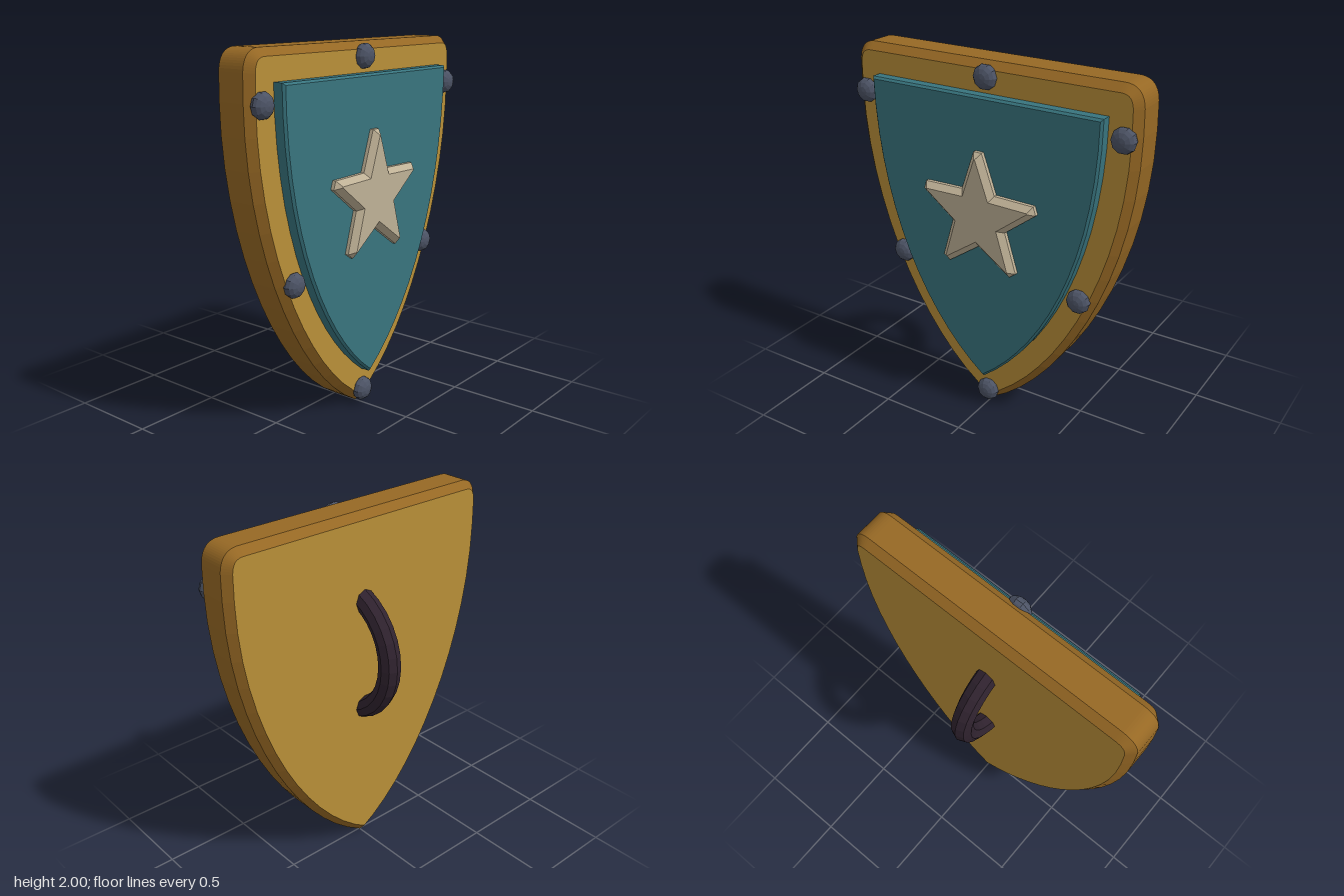
import * as THREE from 'three';

const mat = (name, color, extra = {}) =>
  Object.assign(new THREE.MeshStandardMaterial({ color, ...extra }), { name });

// Chamfered plate whose outermost outline is the given shape, spanning zBack..zFront
function plate(name, shape, zBack, zFront, bevel, materials) {
  const geometry = new THREE.ExtrudeGeometry(shape, {
    depth: zFront - zBack - 2 * bevel,
    bevelEnabled: true,
    bevelThickness: bevel,
    bevelSize: bevel,
    bevelOffset: -bevel,
    bevelSegments: 1,
    curveSegments: 14,
  });
  geometry.translate(0, 0, zBack + bevel);
  const mesh = new THREE.Mesh(geometry, materials);
  mesh.name = name;
  return mesh;
}

// Outer outline with rounded upper corners
function bodyShape() {
  const s = new THREE.Shape();
  s.moveTo(0, 0);
  s.bezierCurveTo(0.45, 0.25, 0.84, 1.0, 0.84, 1.75);
  s.lineTo(0.838, 1.89);
  s.quadraticCurveTo(0.83, 2, 0.73, 2);
  s.lineTo(-0.73, 2);
  s.quadraticCurveTo(-0.83, 2, -0.838, 1.89);
  s.lineTo(-0.84, 1.75);
  s.bezierCurveTo(-0.84, 1.0, -0.45, 0.25, 0, 0);
  return s;
}

// Inner panel outline with sharp upper corners
function panelShape() {
  const s = new THREE.Shape();
  s.moveTo(0, 0.2);
  s.bezierCurveTo(0.4, 0.5, 0.68, 1.1, 0.68, 1.84);
  s.lineTo(-0.68, 1.84);
  s.bezierCurveTo(-0.68, 1.1, -0.4, 0.5, 0, 0.2);
  return s;
}

// Five-pointed star with blunt tips
function starShape(cy, outer, inner, blunt) {
  const points = [];
  for (let i = 0; i < 5; i++) {
    const a = Math.PI / 2 + (i * 2 * Math.PI) / 5;
    for (const side of [-1, 1]) {
      points.push(new THREE.Vector2(
        Math.cos(a) * outer - Math.sin(a) * blunt * side,
        cy + Math.sin(a) * outer + Math.cos(a) * blunt * side));
    }
    const b = a + Math.PI / 5;
    points.push(new THREE.Vector2(Math.cos(b) * inner, cy + Math.sin(b) * inner));
  }
  return new THREE.Shape(points);
}

export function createModel() {
  const gold = mat('gold face', 0xb98f38);
  const bronze = mat('bronze edge', 0x966824);
  const teal = mat('teal panel', 0x38747e);
  const cream = mat('cream star', 0xbfb196);
  const steel = mat('steel rivet', 0x4c5365, { flatShading: true });
  const leather = mat('dark leather', 0x30232f, { flatShading: true });

  const model = new THREE.Group();
  model.name = 'shield';

  // Layered plates: body, raised panel, star
  model.add(plate('shieldBody', bodyShape(), -0.045, 0.19, 0.04, [gold, bronze]));
  model.add(plate('frontPanel', panelShape(), 0.15, 0.255, 0.012, teal));
  model.add(plate('star', starShape(1.2, 0.355, 0.17, 0.024), 0.21, 0.305, 0.03, cream));

  // Flattened rivets around the rim
  const rivetGeometry = new THREE.SphereGeometry(0.067, 10, 8);
  rivetGeometry.rotateX(Math.PI / 2);
  rivetGeometry.scale(1, 1, 0.68);
  const rivets = new THREE.Group();
  rivets.name = 'rivets';
  for (const [x, y] of [[0, 1.925], [0.765, 1.74], [-0.765, 1.74], [0.56, 0.83], [-0.56, 0.83], [0, 0.085]]) {
    const rivet = new THREE.Mesh(rivetGeometry, steel);
    rivet.name = 'rivet';
    rivet.position.set(x, y, 0.198);
    rivets.add(rivet);
  }
  model.add(rivets);

  // Arched grip on the back, its ends sunk into the body
  const gripGeometry = new THREE.TorusGeometry(0.36, 0.06, 8, 16, Math.PI);
  gripGeometry.rotateZ(-Math.PI / 2);
  gripGeometry.rotateY(Math.PI / 2);
  const grip = new THREE.Mesh(gripGeometry, leather);
  grip.name = 'backHandle';
  grip.position.set(0, 1.2, 0.12);
  model.add(grip);

  return model;
}
